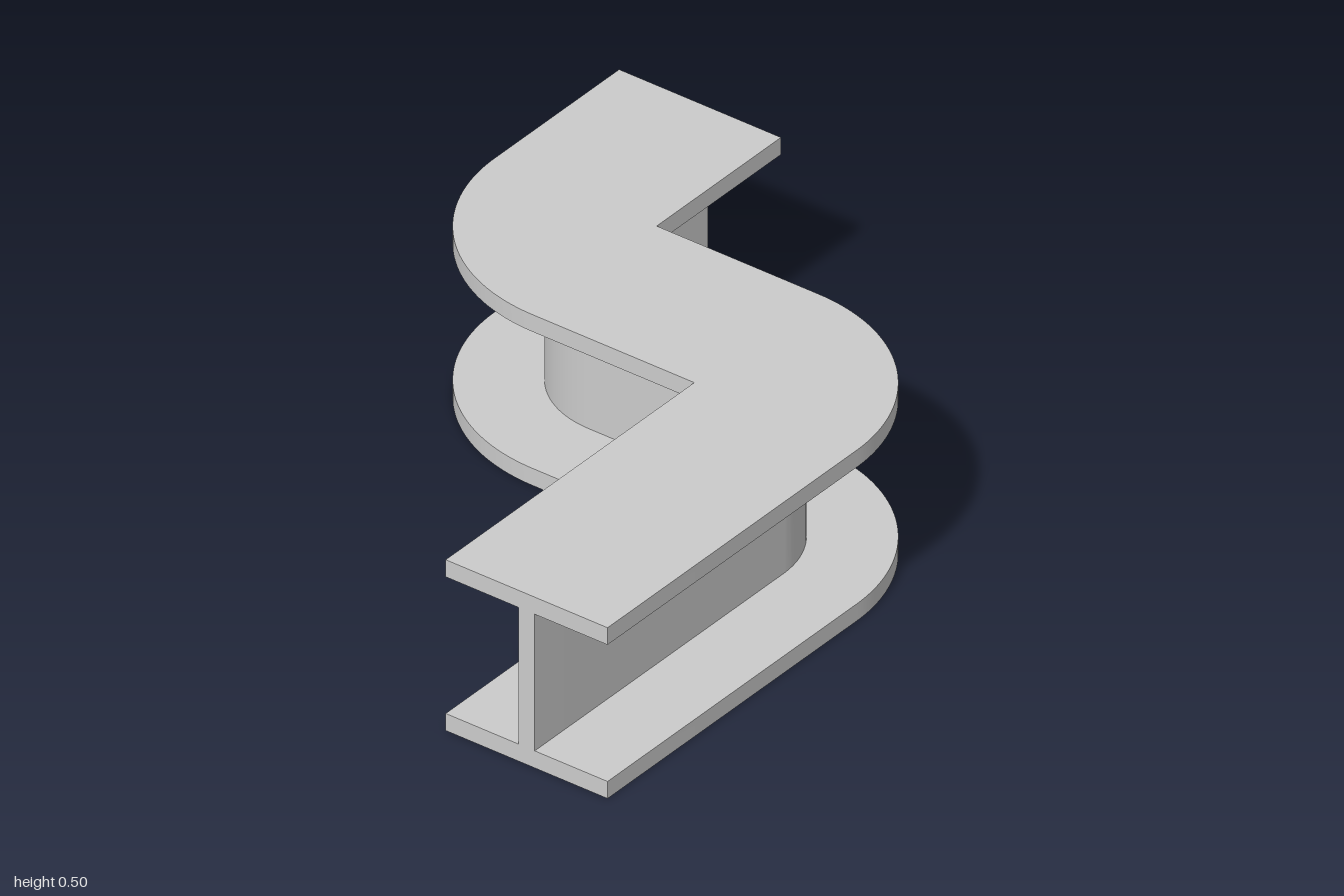
import * as THREE from 'three';
import { toCreasedNormals } from 'three/addons/utils/BufferGeometryUtils.js';

const BEND = 0.25; // centreline radius of both bends

// Plan outline of the S-shaped path, widened by h to either side (shape y = -z)
function pathOutline(h) {
  const s = new THREE.Shape();
  const inner = BEND - h, outer = BEND + h;
  // Inner bends shrink to a sharp corner when the radius reaches zero
  const innerBend = (x, y, from, to) =>
    inner > 0.001 ? s.absarc(x, y, inner, from, to, true) : s.lineTo(x, y);

  s.moveTo(-1, -0.5 - h);
  s.lineTo(0, -0.5 - h);
  s.absarc(0, -0.25, outer, -Math.PI / 2, 0, false);
  innerBend(0.5, 0.25, Math.PI, Math.PI / 2);
  s.lineTo(1, 0.5 - h);
  s.lineTo(1, 0.5 + h);
  s.lineTo(0.5, 0.5 + h);
  s.absarc(0.5, 0.25, outer, Math.PI / 2, Math.PI, false);
  innerBend(0, -0.25, 0, -Math.PI / 2);
  s.lineTo(-1, -0.5 + h);
  s.closePath();
  return s;
}

export function createModel() {
  const group = new THREE.Group();
  group.name = 'curvedIBeam';
  const material = new THREE.MeshStandardMaterial({ color: 0xcccccc });

  const addPlate = (name, halfWidth, bottom, height) => {
    const extruded = new THREE.ExtrudeGeometry(pathOutline(halfWidth), {
      depth: height, bevelEnabled: false, curveSegments: 32,
    });
    extruded.rotateX(-Math.PI / 2);
    const mesh = new THREE.Mesh(toCreasedNormals(extruded, Math.PI / 6), material);
    mesh.position.y = bottom;
    mesh.name = name;
    group.add(mesh);
  };

  // Wide flanges joined by a thin upright web
  addPlate('bottomFlange', 0.25, 0, 0.05);
  addPlate('web', 0.025, 0.05, 0.4);
  addPlate('topFlange', 0.25, 0.45, 0.05);

  return group;
}
